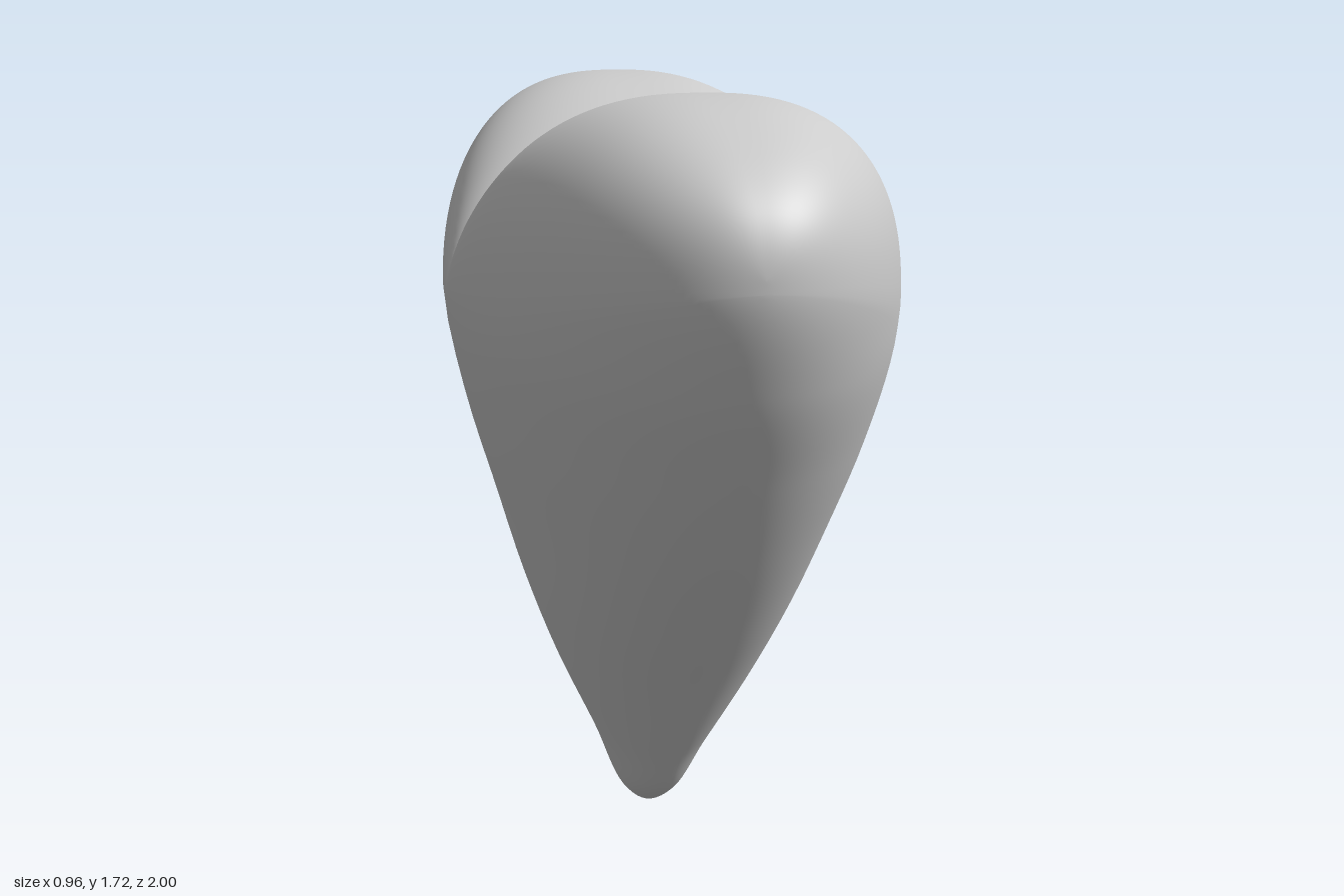
import * as THREE from 'three';
import { mergeVertices } from 'three/addons/utils/BufferGeometryUtils.js';

const STEPS = 40; // samples per control span

// Samples a smooth curve through the points; the first point only guides the start.
function sample(points) {
  const curve = new THREE.CatmullRomCurve3(points.map(([a, b]) => new THREE.Vector3(a, b, 0)));
  return curve.getPoints((points.length - 1) * STEPS).slice(STEPS);
}

// Linear lookup in a sampled curve: returns `to` where `from` equals v.
function lookup(samples, from, to, v) {
  const last = samples.length - 1;
  const up = samples[last][from] > samples[0][from] ? 1 : -1;
  let lo = 0, hi = last;
  while (hi - lo > 1) {
    const mid = (lo + hi) >> 1;
    if ((samples[mid][from] - v) * up <= 0) lo = mid; else hi = mid;
  }
  const a = samples[lo], b = samples[hi];
  const t = THREE.MathUtils.clamp((v - a[from]) / (b[from] - a[from] || 1), 0, 1);
  return a[to] + (b[to] - a[to]) * t;
}

// Half outline (depth, height): tip, flank, widest point, lobe, notch.
const outline = sample([
  [-0.12, 0.06], [0, 0], [0.12, 0.06], [0.235, 0.2], [0.39, 0.4], [0.55, 0.6], [0.7, 0.8],
  [0.83, 1.0], [0.94, 1.2], [1, 1.4], [0.975, 1.52], [0.89, 1.61], [0.72, 1.69], [0.5, 1.717],
  [0.3, 1.69], [0.12, 1.6], [0.03, 1.5], [0, 1.44],
]);
const WIDEST = 8 * STEPS;
const lower = outline.slice(0, WIDEST + 1);
const upper = outline.slice(WIDEST);

// Half thickness against height.
const thickness = sample([
  [-0.06, 0.04], [0, 0], [0.06, 0.04], [0.135, 0.2], [0.232, 0.4], [0.31, 0.6], [0.372, 0.8],
  [0.432, 1.0], [0.474, 1.2], [0.48, 1.3], [0.48, 1.45],
]);

// Right half of the cross-section at a given depth, from bottom to top.
function halfSection(z, n) {
  const depth = Math.abs(z);
  const bottom = lookup(lower, 'x', 'y', depth);
  const top = lookup(upper, 'x', 'y', depth);
  const middle = 1.25 + 0.15 * depth * depth;
  const widthAt = (y) => {
    const r = Math.min(1, depth / Math.max(lookup(lower, 'y', 'x', y), 1e-6));
    return lookup(thickness, 'y', 'x', y) * Math.sqrt(1 - r * r);
  };
  const points = [[0, bottom]];
  // flank below the widest height
  for (let i = 1; i <= n; i++) {
    const y = bottom + (middle - bottom) * (i / n) ** 2;
    points.push([widthAt(y), y]);
  }
  // rounded shoulder above it
  const w = widthAt(middle);
  for (let i = 1; i <= n; i++) {
    const a = (i / n) * Math.PI / 2;
    const x = i === n ? 0 : w * Math.cos(a) ** 0.8;
    points.push([x, middle + (top - middle) * Math.sin(a) ** 0.8]);
  }
  return points;
}

function heartGeometry(rows, n) {
  const positions = [], index = [], ring = 4 * n;
  for (let i = -rows; i <= rows; i++) {
    // sections packed towards the notch and both ends
    const t = Math.abs(i) / rows;
    const z = Math.sign(i) * Math.sin(Math.PI / 2 * t ** 1.4);
    const half = halfSection(z, n);
    const mirrored = half.slice(1, -1).reverse().map(([x, y]) => [-x, y]);
    for (const [x, y] of [...half, ...mirrored]) {
      // the tip leans slightly to one side
      const lean = -0.025 * Math.max(0, 1 - y / 1.2) ** 2;
      positions.push(x + lean, y, z);
    }
  }
  for (let i = 0; i < 2 * rows; i++) {
    for (let j = 0; j < ring; j++) {
      const k = (j + 1) % ring;
      const a = i * ring + j, b = i * ring + k, c = a + ring, d = b + ring;
      index.push(a, b, c, b, d, c);
    }
  }
  const geometry = new THREE.BufferGeometry();
  geometry.setAttribute('position', new THREE.Float32BufferAttribute(positions, 3));
  geometry.setIndex(index);
  const merged = mergeVertices(geometry, 1e-5);
  merged.computeVertexNormals();
  return merged;
}

export function createModel() {
  const group = new THREE.Group();
  group.name = 'heart';
  const body = new THREE.Mesh(
    heartGeometry(72, 32),
    new THREE.MeshStandardMaterial({ color: 0xcccccc }),
  );
  body.name = 'heartBody';
  group.add(body);
  return group;
}
